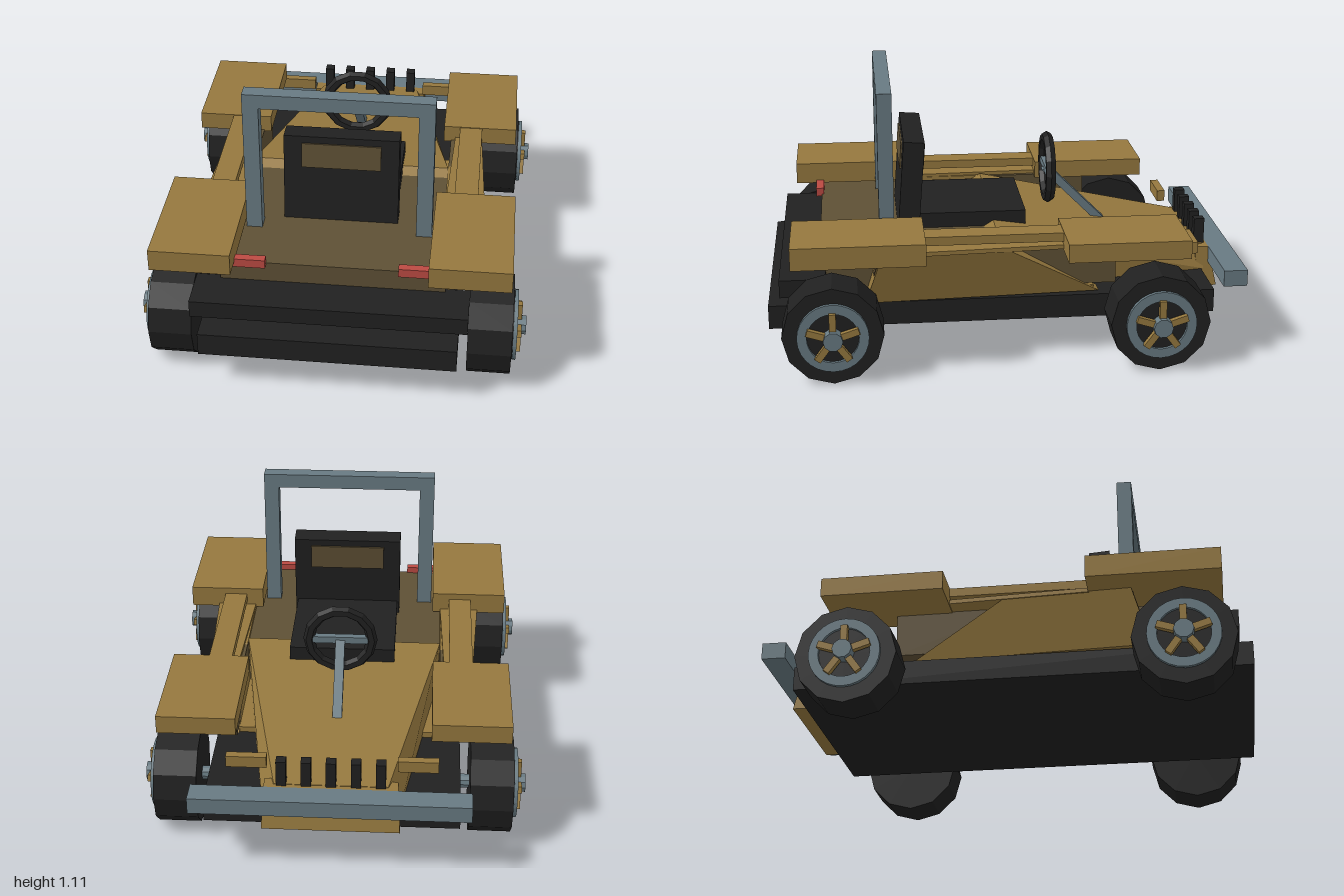
import * as THREE from 'three';
import { ConvexGeometry } from 'three/addons/geometries/ConvexGeometry.js';

const mat = (name, color) => {
  const m = new THREE.MeshStandardMaterial({ color, flatShading: true });
  m.name = name;
  return m;
};

export function createModel() {
  const tan = mat('tan paint', 0x95783e);
  const brown = mat('dark brown', 0x5e5035);
  const black = mat('black', 0x202020);
  const steel = mat('steel', 0x687a82);
  const red = mat('red lamp', 0xbb4a42);
  const model = new THREE.Group();
  model.name = 'buggy';

  const add = (name, geometry, material, parent = model) => {
    const mesh = new THREE.Mesh(geometry, material);
    mesh.name = name;
    parent.add(mesh);
    return mesh;
  };
  // Box given by its limits on each axis
  const box = (name, material, x0, x1, y0, y1, z0, z1, parent = model) => {
    const mesh = add(name, new THREE.BoxGeometry(x1 - x0, y1 - y0, z1 - z0), material, parent);
    mesh.position.set((x0 + x1) / 2, (y0 + y1) / 2, (z0 + z1) / 2);
    return mesh;
  };
  // Same box on both sides
  const pair = (name, material, x0, x1, y0, y1, z0, z1) => {
    box(name + 'Left', material, x0, x1, y0, y1, z0, z1);
    box(name + 'Right', material, -x1, -x0, y0, y1, z0, z1);
  };
  // Convex solid from corner points, and the same on both sides
  const hull = (name, material, pts) =>
    add(name, new ConvexGeometry(pts.map((p) => new THREE.Vector3(...p))), material);
  const mirror = (pts) => pts.map(([x, y, z]) => [-x, y, z]);
  const hullPair = (name, material, pts) => {
    hull(name + 'Left', material, pts);
    hull(name + 'Right', material, mirror(pts));
  };

  // Chassis and bumpers
  box('chassis', black, -0.523, 0.523, 0.16, 0.26, -0.87, 1);
  box('rearBumper', black, -0.56, 0.56, 0.31, 0.385, 0.76, 0.95);
  box('frontBumper', steel, -0.565, 0.565, 0.288, 0.358, -1, -0.9);

  // Body tub
  box('floorPan', tan, -0.48, 0.48, 0.255, 0.285, -0.36, 0.6);
  box('rearDeck', brown, -0.46, 0.46, 0.28, 0.475, 0.04, 0.78);

  // Tapered hood and nose
  const hood = [[0.43, 0.5, 0.04], [0.43, 0.26, 0.08], [0.43, 0.475, 0.08],
    [0.23, 0.36, -0.88], [0.28, 0.26, -0.88]];
  hull('hood', tan, [...hood, ...mirror(hood)]);
  const nose = [[0.27, 0.358, -0.84], [0.27, 0.358, -0.9], [0.28, 0.18, -0.94], [0.28, 0.18, -0.86]];
  hull('nose', tan, [...nose, ...mirror(nose)]);

  // Side pods: flat flared outer face, sloping ends
  const flare = (y, z) => 0.512 + 0.302 * (y - 0.265) + 0.047 * z;
  const podOutline = [[0.49, 0.53], [0.265, 0.6], [0.49, 0.01], [0.265, -0.38]];
  hullPair('sidePod', tan, podOutline.flatMap(([y, z]) => [[0.43, y, z], [flare(y, z), y, z]]));
  hullPair('podTop', tan, [0.485, 0.503].flatMap((y) => [[0.43, y, 0.36], [0.602, y, 0.36],
    [0.57, y, -0.23], [0.45, y, -0.23]]));
  pair('innerPanel', brown, 0.43, 0.495, 0.3, 0.487, -0.45, 0.05);
  // Thin plate lying on the sloping rear end of the pod
  hullPair('podEnd', brown, [[0.488, 0.58], [0.39, 0.555]].flatMap(([y, x]) => {
    const z = 0.53 + (0.49 - y) * 0.311;
    return [[0.51, y, z - 0.002], [0.51, y, z + 0.004], [x, y, z - 0.002], [x, y, z + 0.004]];
  }));
  pair('sideRail', tan, 0.47, 0.57, 0.518, 0.555, -0.24, 0.36);

  // Fenders and lamps
  pair('frontFender', tan, 0.398, 0.723, 0.48, 0.558, -0.72, -0.218);
  pair('rearFender', tan, 0.395, 0.726, 0.49, 0.583, 0.355, 0.895);
  pair('headlampBar', tan, 0.265, 0.43, 0.39, 0.44, -0.815, -0.78);
  pair('tailLamp', red, 0.27, 0.42, 0.465, 0.503, 0.77, 0.805);

  // Grille bars
  for (let i = -2; i <= 2; i++)
    box('grilleBar', black, i * 0.1 - 0.02, i * 0.1 + 0.02, 0.35, 0.47, -0.89, -0.845);

  // Seat
  box('seatCushion', black, -0.23, 0.23, 0.46, 0.54, -0.1, 0.36);
  const seatBack = new THREE.Group();
  seatBack.name = 'seatBack';
  seatBack.position.set(0, 0.665, 0.39);
  seatBack.rotation.x = -0.075;
  model.add(seatBack);
  box('backrest', black, -0.24, 0.24, -0.195, 0.195, -0.045, 0.045, seatBack);
  box('headPad', brown, -0.165, 0.165, 0.055, 0.165, -0.052, 0.052, seatBack);

  // Roll bar
  pair('rollBarPost', steel, 0.322, 0.388, 0.47, 1.06, 0.47, 0.533);
  box('rollBarTop', steel, -0.388, 0.388, 1.05, 1.113, 0.47, 0.533);

  // Steering wheel and column
  const ring = add('steeringWheel', new THREE.TorusGeometry(0.135, 0.024, 6, 14), black);
  ring.position.set(0, 0.66, -0.222);
  box('steeringSpoke', steel, -0.125, 0.125, 0.645, 0.675, -0.237, -0.207);
  const column = add('steeringColumn', new THREE.BoxGeometry(0.04, 0.36, 0.035), steel);
  column.position.set(0, 0.535, -0.338);
  column.rotation.x = Math.PI / 4;

  // Wheels, built with the outside toward +x
  const disc = (name, material, r, x0, x1, sides, parent) => {
    const geo = new THREE.CylinderGeometry(r, r, x1 - x0, sides).rotateZ(-Math.PI / 2);
    const mesh = add(name, geo, material, parent);
    mesh.position.x = (x0 + x1) / 2;
    return mesh;
  };
  const rimShape = new THREE.Shape().absarc(0, 0, 0.145, 0, Math.PI * 2, false);
  rimShape.holes.push(new THREE.Path().absarc(0, 0, 0.105, 0, Math.PI * 2, true));
  const rimGeo = new THREE.ExtrudeGeometry(rimShape, { depth: 0.015, bevelEnabled: false, curveSegments: 14 })
    .rotateY(Math.PI / 2);
  for (const z of [-0.6, 0.735]) {
    disc('axle', steel, 0.03, -0.7, 0.7, 10, model).position.set(0, 0.208, z);
    for (const side of [1, -1]) {
      const wheel = new THREE.Group();
      wheel.name = (z < 0 ? 'front' : 'rear') + 'Wheel' + (side > 0 ? 'Left' : 'Right');
      wheel.position.set(0, 0.208, z);
      wheel.rotation.y = side > 0 ? 0 : Math.PI;
      model.add(wheel);
      disc('tyre', black, 0.206, 0.56, 0.738, 12, wheel);
      disc('wheelDisc', black, 0.142, 0.72, 0.745, 20, wheel);
      add('rim', rimGeo, steel, wheel).position.x = 0.743;
      disc('hub', steel, 0.04, 0.73, 0.795, 10, wheel);
      for (let i = 0; i < 5; i++) {
        const spoke = new THREE.Group();
        spoke.name = 'spoke';
        spoke.rotation.x = (i * Math.PI * 2) / 5;
        wheel.add(spoke);
        box('spokeBar', tan, 0.752, 0.776, 0.03, 0.11, -0.014, 0.014, spoke);
      }
    }
  }
  return model;
}
